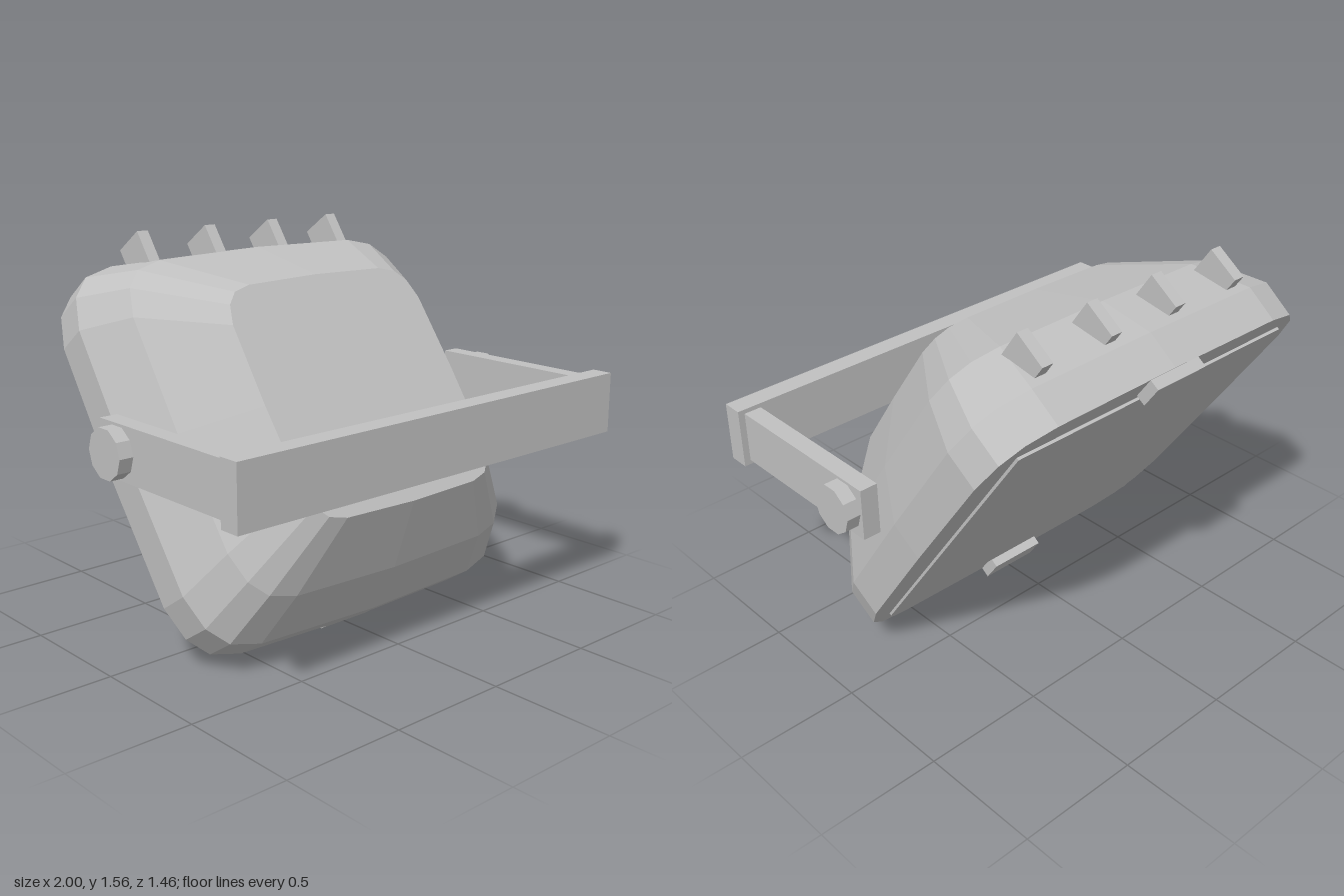
import * as THREE from 'three';

const gray = new THREE.MeshStandardMaterial({ color: 0xc0c0c0, flatShading: true });
gray.name = 'light gray';

function add(parent, name, geometry) {
  const mesh = new THREE.Mesh(geometry, gray);
  mesh.name = name;
  parent.add(mesh);
  return mesh;
}

// box given by its low and high limits on each axis
function box(parent, name, [x0, x1], [y0, y1], [z0, z1]) {
  const mesh = add(parent, name, new THREE.BoxGeometry(x1 - x0, y1 - y0, z1 - z0));
  mesh.position.set((x0 + x1) / 2, (y0 + y1) / 2, (z0 + z1) / 2);
  return mesh;
}

// rounded-square housing: one cross-section scaled along the lamp axis
function housingGeometry(centreY) {
  const quarter = [[0.815, 0], [0.805, 0.54], [0.765, 0.675], [0.69, 0.755], [0.56, 0.79]];
  const loop = [];
  let points = quarter;
  for (let q = 0; q < 4; q++) {
    loop.push(...points);
    // mirror every other quarter so the corners match left to right and top to bottom
    const turned = quarter.map(([x, y]) => [x, y]);
    if (q === 0) points = [[0, 0.804], ...turned.slice(1).reverse().map(([x, y]) => [-x, y])];
    if (q === 1) points = turned.map(([x, y]) => [-x, -y]);
    if (q === 2) points = [[0, -0.804], ...turned.slice(1).reverse().map(([x, y]) => [x, -y])];
  }
  // [distance along axis, scale, vertical shift]
  const stations = [[0.201, 1, 0], [0.355, 1.006, 0], [0.57, 0.88, 0], [0.817, 0.602, -0.04]];
  const rings = stations.map(([z, s, dy]) => loop.map(([x, y]) => [x * s, centreY + dy + y * s, z]));
  const position = [];
  const tri = (a, b, c) => position.push(...a, ...b, ...c);
  const n = loop.length;
  for (let i = 0; i < n; i++) {
    const j = (i + 1) % n;
    for (let r = 0; r < rings.length - 1; r++) {
      const a = rings[r], b = rings[r + 1];
      tri(a[i], a[j], b[j]);
      tri(a[i], b[j], b[i]);
    }
    // flat ends
    const back = rings[0], front = rings[rings.length - 1];
    tri([0, centreY, stations[0][0]], back[j], back[i]);
    tri([0, centreY - 0.04, stations[3][0]], front[i], front[j]);
  }
  const geometry = new THREE.BufferGeometry();
  geometry.setAttribute('position', new THREE.Float32BufferAttribute(position, 3));
  geometry.computeVertexNormals();
  return geometry;
}

export function createModel() {
  const model = new THREE.Group();
  model.name = 'floodlight';

  // tilted lamp head
  const head = new THREE.Group();
  head.name = 'lampHead';
  head.rotation.x = -THREE.MathUtils.degToRad(35);
  model.add(head);
  const cy = 0.695;
  add(head, 'housing', housingGeometry(cy));
  box(head, 'glassPanel', [-0.685, 0.685], [cy - 0.673, cy + 0.673], [0.19, 0.203]);

  // cooling fins along the top
  for (let i = 0; i < 4; i++) {
    const x = -0.492 + i * 0.328;
    box(head, 'coolingFin', [x - 0.025, x + 0.025], [1.39, 1.539], [0.388, 0.537]);
  }

  // clips holding the glass
  box(head, 'upperClip', [-0.125, 0.125], [1.39, 1.495], [0.157, 0.21]);
  box(head, 'lowerClip', [-0.125, 0.125], [-0.105, 0], [0.157, 0.21]);

  // mounting bracket
  const bracket = new THREE.Group();
  bracket.name = 'bracket';
  model.add(bracket);
  box(bracket, 'crossBar', [-0.97, 0.97], [0.737, 0.983], [0.645, 0.731]);
  for (const side of [-1, 1]) {
    const arm = box(bracket, 'sideArm', [-0.0365, 0.0365], [0.755, 0.965], [-0.09, 0.645]);
    arm.position.x = side * 0.9065;
    const bolt = add(bracket, 'pivotBolt', new THREE.CylinderGeometry(0.098, 0.098, 0.06, 10).rotateZ(Math.PI / 2));
    bolt.position.set(side * 0.97, 0.861, 0.018);
  }
  return model;
}
